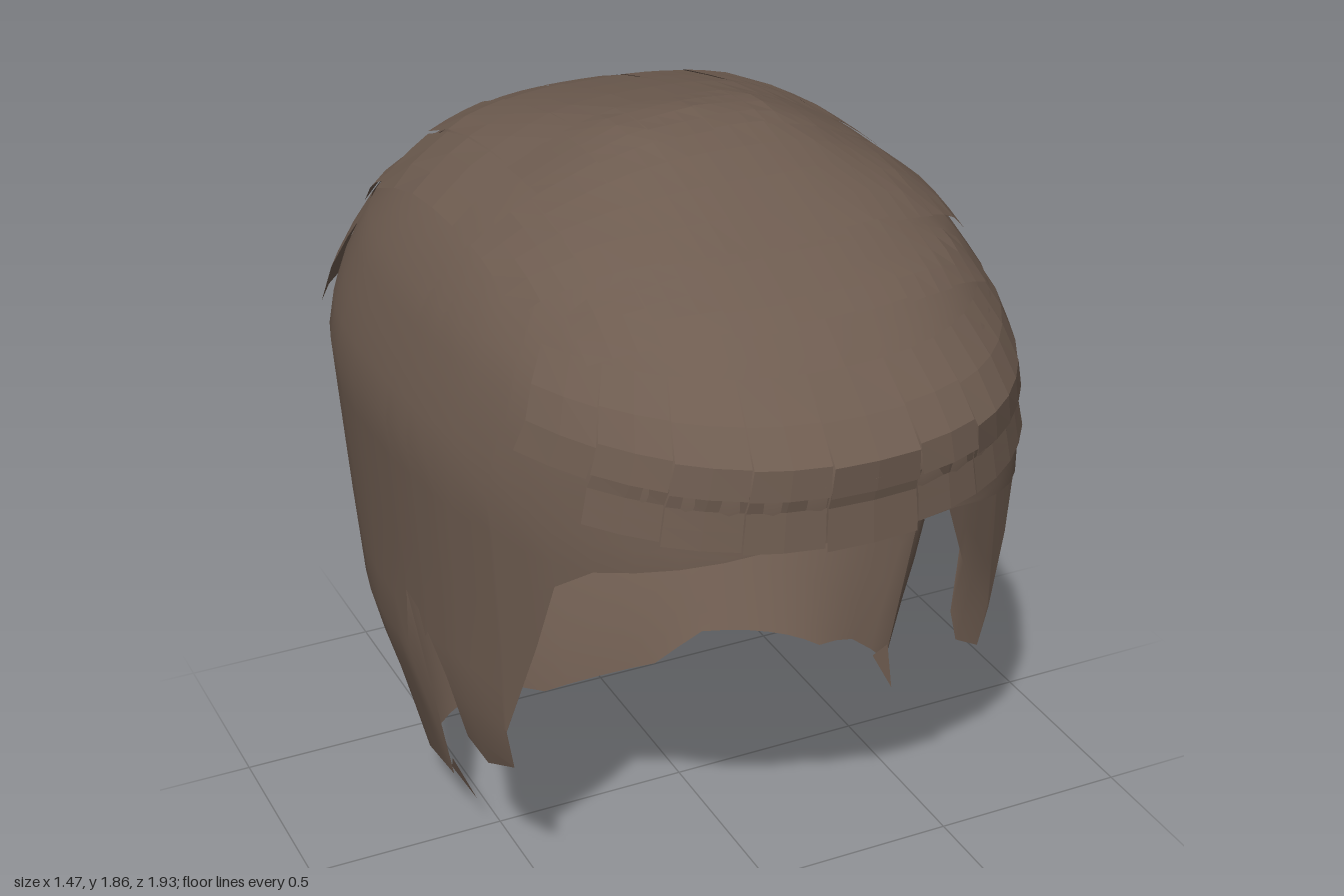
import * as THREE from 'three';

const hair = new THREE.MeshStandardMaterial({ color: 0x6e5c50, side: THREE.DoubleSide });
hair.name = 'brown hair';

// Horizontal rings of the head of hair: [y, front z, back z, half width, centre z, squareness of the back]
const RINGS = [
  [1.855, 0.05, 0.05, 0, 0.05, 2.5], [1.835, 0.18, -0.08, 0.18, 0.05, 2.5], [1.79, 0.32, -0.27, 0.29, 0.03, 2.5],
  [1.70, 0.55, -0.58, 0.46, 0, 2.5], [1.62, 0.71, -0.70, 0.56, -0.03, 2.5], [1.49, 0.88, -0.84, 0.65, -0.1, 2.6],
  [1.37, 0.98, -0.895, 0.69, -0.16, 2.6], [1.31, 0.95, -0.92, 0.71, -0.18, 2.6], [1.20, 0.95, -0.945, 0.735, -0.18, 2.6],
  [0.80, 0.95, -0.93, 0.72, -0.15, 2.4], [0.55, 0.95, -0.85, 0.715, -0.15, 2.2], [0.32, 0.95, -0.70, 0.65, -0.15, 2.2],
  [0.07, 0.95, -0.53, 0.59, -0.15, 2.4], [0, 0.95, -0.51, 0.57, -0.15, 2.4],
];
// Lower edge by angle: 90 is the front, 0 the side, -90 the back
const HEM = [
  [90, 1.21], [75, 1.2], [61, 1.15], [46.7, 1.1], [39.8, 1.03], [35.6, 0.85], [28.5, 0.57], [27.9, 0.46],
  [20.5, 0.4], [16.8, 0.44], [15.2, 0.6], [11, 0.68], [10.3, 0.66], [9, 0.72], [5.9, 0.74], [5.2, 0.17],
  [2, 0.16], [-3, 0.14], [-18, 0.07], [-63, 0.07], [-77, 0], [-90, 0],
];
const TOP = RINGS[0][0], FRONT_POWER = 2.3;

// Ring values at a height
function ring(y) {
  let i = 0;
  while (i < RINGS.length - 2 && RINGS[i + 1][0] > y) i++;
  const A = RINGS[i], B = RINGS[i + 1];
  const t = THREE.MathUtils.clamp((A[0] - y) / (A[0] - B[0]), 0, 1);
  const [, front, back, width, centre, backPower] = A.map((v, k) => v + (B[k] - v) * t);
  return { front, back, width, centre, backPower };
}

// Move a point outward from the middle of the head
const raise = (p, lift) =>
  p.addScaledVector(new THREE.Vector3(p.x, p.y - 1, p.z).normalize(), lift);

// Point on the hair at an angle in degrees and a height
function sidePoint(deg, y, lift = 0) {
  const r = ring(y), a = THREE.MathUtils.degToRad(deg), s = Math.sin(a), k = Math.cos(a);
  const e = 2 / (s > 0 ? FRONT_POWER : r.backPower);
  const p = new THREE.Vector3(
    Math.sign(k) * r.width * Math.abs(k) ** e, y,
    r.centre + ((s > 0 ? r.front : r.back) - r.centre) * Math.abs(s) ** e);
  return raise(p, lift);
}

// Point on top of the hair above x and z, found by halving the height range
function topPoint(x, z, lift) {
  let low = 1.2, high = TOP;
  for (let n = 0; n < 20; n++) {
    const y = (low + high) / 2, r = ring(y), d = z - r.centre;
    const power = d > 0 ? FRONT_POWER : r.backPower;
    const reach = (d > 0 ? r.front : r.back) - r.centre;
    if (Math.abs(x / r.width) ** power + Math.abs(d / reach) ** power < 1) low = y; else high = y;
  }
  return raise(new THREE.Vector3(x, low, z), lift);
}

// Grid of points, columns running counterclockwise from above, rows running down
function grid(cols, rows, point, flat) {
  const pos = [], idx = [];
  for (let i = 0; i < cols; i++) for (let j = 0; j < rows; j++) pos.push(...point(i, j).toArray());
  for (let i = 0; i < cols - 1; i++) for (let j = 0; j < rows - 1; j++) {
    const a = i * rows + j, b = a + rows;
    idx.push(a, a + 1, b + 1, a, b + 1, b);
  }
  let g = new THREE.BufferGeometry();
  g.setAttribute('position', new THREE.Float32BufferAttribute(pos, 3));
  g.setIndex(idx);
  if (flat) g = g.toNonIndexed();
  g.computeVertexNormals();
  return g;
}

function add(group, name, geometry) {
  const m = new THREE.Mesh(geometry, hair);
  m.name = name;
  group.add(m);
}

export function createModel() {
  const model = new THREE.Group();
  model.name = 'hair';

  // Main shell: columns fall from the crown and stop at the hem
  const half = [];
  HEM.forEach(([a, y], i) => {
    if (i) {
      const [a0, y0] = HEM[i - 1], n = Math.ceil((a0 - a) / 8);
      for (let k = 1; k < n; k++) half.push([a0 + (a - a0) * k / n, y0 + (y - y0) * k / n]);
    }
    half.push([a, y]);
  });
  const columns = [...half, ...half.slice(0, -1).reverse().map(([a, y]) => [-180 - a, y])];
  const ROWS = 26;
  add(model, 'hairShell', grid(columns.length, ROWS, (i, j) => {
    const [a, hem] = columns[i];
    return sidePoint(a, Math.max(hem, TOP * Math.cos(j / (ROWS - 1) * Math.PI / 2)));
  }));

  let seed = 7;
  const rnd = () => (seed = (seed * 16807) % 2147483647) / 2147483647;

  // Long locks laid over the top: [name, half span, count, start z, end z, bend of the edge, lift]
  const topBands = [
    ['frontCrownLock', 0.4, 6, -0.05, 0.18, -0.3, 0.012],
    ['frontTopLock', 0.55, 8, 0.14, 0.54, -0.65, 0.014],
    ['frontUpperLock', 0.48, 7, 0.5, 0.73, -0.75, 0.014],
    ['backCrownLock', 0.55, 7, -0.06, -0.62, 0.35, 0.018],
    ['backUpperLock', 0.52, 7, -0.58, -0.83, 0.5, 0.016],
  ];
  for (const [name, span, count, z0, z1, bend, lift] of topBands) {
    const dir = Math.sign(z1 - z0), step = 2 * span / count;
    for (let n = 0; n < count; n++) {
      const tip = z1 + (rnd() - 0.5) * 0.02, l = lift * (0.6 + 0.4 * rnd());
      add(model, name, grid(4, 5, (i, j) => {
        const x = dir * (-span + step * (n + 0.01 + 0.98 * i / 3)), t = j / 4;
        return topPoint(x, z0 + (tip - z0) * t + bend * x * x * (0.3 + 0.7 * t), 0.003 + l * t);
      }, true));
    }
  }

  // Short locks round the front and back: [name, from angle, to angle, count, top y, bottom y, lift]
  const sideBands = [
    ['fringeLock', 148, 32, 9, 1.54, 1.32, 0.018],
    ['fringeTipLock', 135, 45, 7, 1.34, 1.2, 0.01],
    ['backMiddleLock', -28, -152, 7, 1.5, 1.22, 0.022],
    ['backLowerLock', -45, -135, 6, 1.24, 1.0, 0.018],
    ['napeLock', -66, -114, 4, 1.02, 0.8, 0.018],
  ];
  for (const [name, from, to, count, y0, y1, lift] of sideBands) {
    const step = (to - from) / count;
    for (let n = 0; n < count; n++) {
      const a0 = from + n * step, tip = y1 + (rnd() - 0.5) * 0.03, l = lift * (0.6 + 0.4 * rnd());
      add(model, name, grid(3, 4, (i, j) => {
        const t = j / 3;
        return sidePoint(a0 + step * (i / 2 * 0.98 + 0.01), y0 + (tip - y0) * t, 0.003 + l * t);
      }, true));
    }
  }

  // Pointed wisps in front of the neck
  for (const side of [1, -1]) {
    const wisp = [[0.615, 0.22, -0.01], [0.585, 0.14, 0.07], [0.6, 0.16, -0.06]];
    const pts = wisp.map(([x, y, z]) => new THREE.Vector3(x * side, y, z));
    if (side > 0) pts.reverse();
    const g = new THREE.BufferGeometry().setFromPoints(pts);
    g.computeVertexNormals();
    add(model, 'neckWisp', g);
  }
  return model;
}
